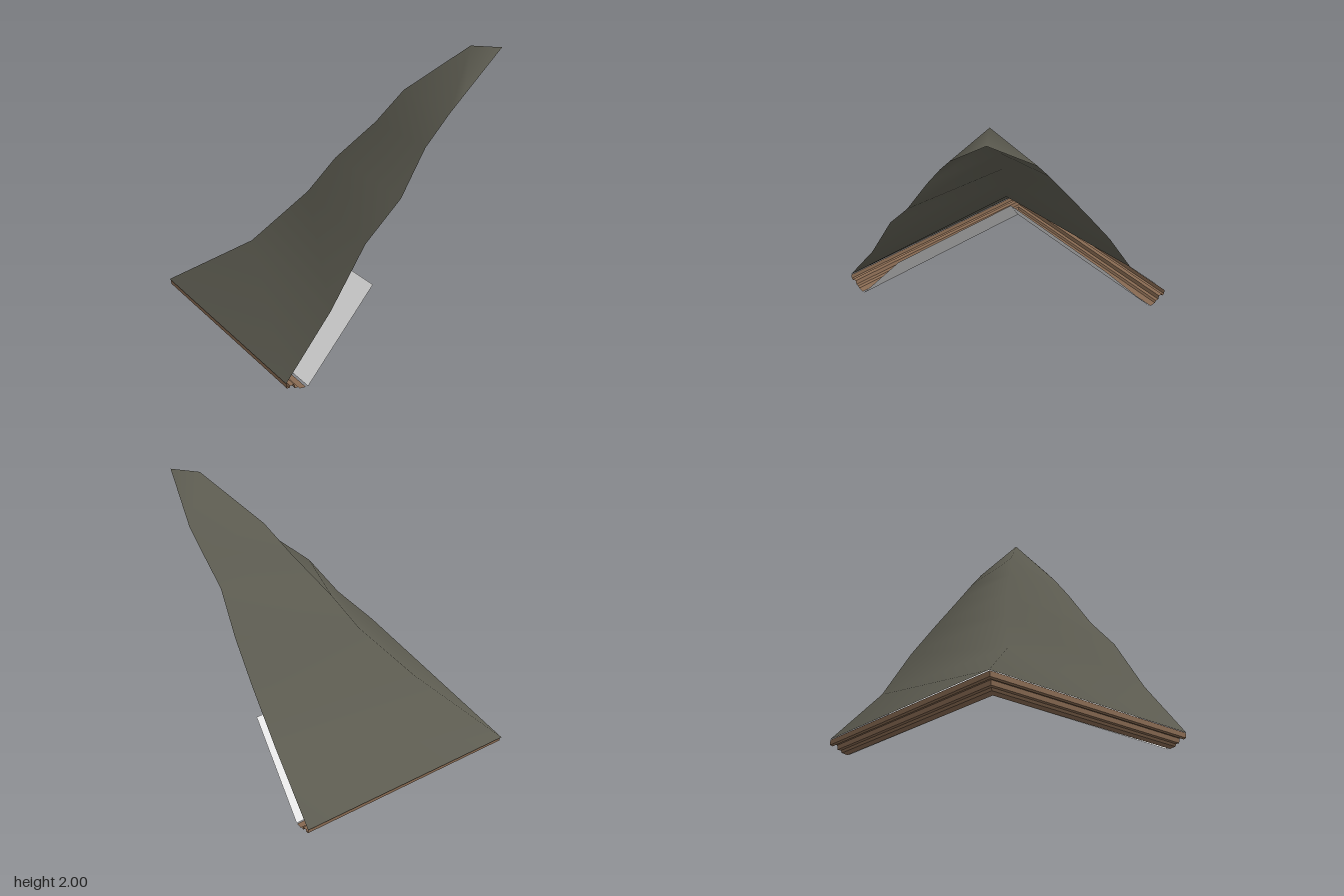
import * as THREE from 'three';

const FRONT_END = 0.82, RIGHT_END = 0.792;

// Sweeps an open profile (offset, height) around the mitred corner as a thin sheet.
// The inset values move the two free ends inwards.
function sweepCorner(profile, frontInset = 0, rightInset = 0) {
  const stations = [
    ([p, y]) => [p + frontInset, y, FRONT_END],
    ([p, y]) => [p, y, p],
    ([p, y]) => [RIGHT_END, y, p + rightInset],
  ];
  const pos = [];
  for (let s = 0; s < 2; s++) {
    const A = stations[s], B = stations[s + 1];
    for (let j = 0; j < profile.length - 1; j++) {
      const p = profile[j], q = profile[j + 1];
      pos.push(...A(p), ...B(p), ...B(q), ...A(p), ...B(q), ...A(q));
    }
  }
  const geo = new THREE.BufferGeometry();
  geo.setAttribute('position', new THREE.Float32BufferAttribute(pos, 3));
  geo.computeVertexNormals();
  return geo;
}

// Hip roof skin: each row holds a front edge point, a hip point and a right edge point.
function roofGeometry() {
  const rows = [
    [[-0.845, 0.075, 0.82], [-0.845, 0.075, -0.85], [0.792, 0.075, -0.845]],
    [[-0.51, 0.49, 0.82], [-0.42, 0.49, -0.34], [0.792, 0.49, -0.45]],
    [[-0.25, 0.89, 0.82], [-0.105, 0.89, -0.085], [0.812, 0.87, -0.2]],
    [[0, 1.15, 0.845], [0.04, 1.15, 0.04], [0.812, 1.14, 0]],
    [[0.2, 1.44, 0.82], [0.225, 1.44, 0.25], [0.792, 1.41, 0.2]],
    [[0.37, 1.64, 0.838], [0.36, 1.67, 0.37], [0.828, 1.62, 0.37]],
    [[0.475, 1.75, 0.85], [0.65, 2, 0.68], [0.847, 1.75, 0.48]],
    [[0.792, 2, 0.82], [0.792, 2, 0.82], [0.792, 2, 0.82]],
  ];
  const index = [];
  for (let r = 0; r < rows.length - 1; r++) {
    for (let c = 0; c < 2; c++) {
      const a = r * 3 + c, b = a + 1, d = a + 3, e = a + 4;
      if (r === rows.length - 2) index.push(a, (r + 1) * 3 + 1, b); // fan to the peak
      else index.push(a, e, b, a, d, e);
    }
  }
  const geo = new THREE.BufferGeometry();
  geo.setAttribute('position', new THREE.Float32BufferAttribute(rows.flat(2), 3));
  geo.setIndex(index);
  geo.computeVertexNormals();
  return geo;
}

export function createModel() {
  const material = (name, color) => {
    const mat = new THREE.MeshStandardMaterial({ color, side: THREE.DoubleSide });
    mat.name = name;
    return mat;
  };
  const model = new THREE.Group();
  model.name = 'roofCorner';
  const add = (name, geo, mat) => {
    const mesh = new THREE.Mesh(geo, mat);
    mesh.name = name;
    model.add(mesh);
  };

  add('roof', roofGeometry(), material('roofGrey', 0x5c5b50));

  // stepped moulding under the eaves, open towards the roof space
  add('eaveMoulding', sweepCorner([
    [-0.84, 0.075], [-0.84, 0.04], [-0.82, 0.035], [-0.815, 0.05], [-0.785, 0.05],
    [-0.78, 0.02], [-0.755, 0.02], [-0.745, 0.005], [-0.7, 0],
  ]), material('woodBrown', 0x886a52));

  // thin sloping panels inside the roof
  add('innerPanels', sweepCorner([[-0.7, 0], [-0.205, 0.585]], 0.018, 0.008),
    material('panelLight', 0xe6e6e6));

  return model;
}
